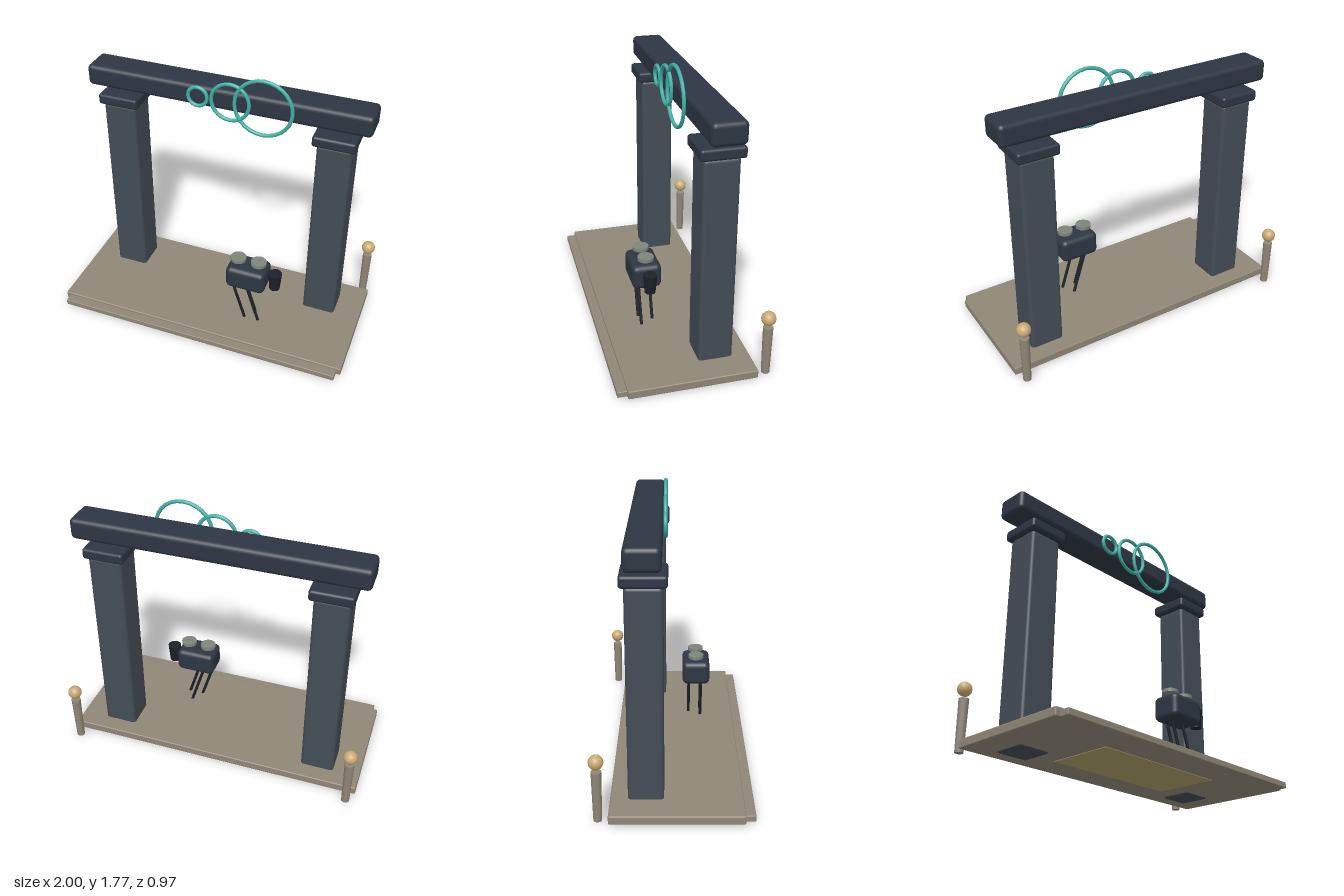
import * as THREE from 'three';
import { RoundedBoxGeometry } from 'three/addons/geometries/RoundedBoxGeometry.js';

const mat = (color) => new THREE.MeshStandardMaterial({ color });

export function createModel() {
  const model = new THREE.Group();
  const stone = mat(0x8f8676), pillarGrey = mat(0x434c55), dark = mat(0x2d3643);
  const black = mat(0x1c2128), teal = mat(0x3fb0a5), gold = mat(0xc9aa74);
  const sage = mat(0x7d857b), olive = mat(0xa89a66);

  const add = (name, geometry, material, x, y, z, parent = model) => {
    const mesh = new THREE.Mesh(geometry, material);
    mesh.name = name;
    mesh.position.set(x, y, z);
    parent.add(mesh);
    return mesh;
  };
  // Rounded box given by its extents on each axis
  const block = (name, material, [x0, x1], [y0, y1], [z0, z1], r, parent) =>
    add(name, new RoundedBoxGeometry(x1 - x0, y1 - y0, z1 - z0, 3, r), material,
      (x0 + x1) / 2, (y0 + y1) / 2, (z0 + z1) / 2, parent);

  // Base with a front step and an inlay underneath
  block('platform', stone, [-1, 1], [0.01, 0.065], [-0.38, 0.42], 0.008);
  block('frontStep', stone, [-0.97, 0.97], [0.01, 0.05], [0.38, 0.48], 0.006);
  add('undersideInlay', new THREE.BoxGeometry(0.95, 0.006, 0.42), olive, 0, 0.01, 0.04);

  // Gate: pillars, caps and back posts mirrored left and right
  for (const s of [-1, 1]) {
    const side = s > 0 ? 'left' : 'right';
    const span = (c, w) => [s * c - w / 2, s * c + w / 2];
    block(side + 'Pillar', pillarGrey, span(0.715, 0.22), [0, 1.39], [-0.273, -0.057], 0.022);
    block(side + 'Cap', dark, span(0.713, 0.27), [1.39, 1.462], [-0.3, -0.03], 0.018);

    const post = new THREE.Group();
    post.name = side + 'Post';
    post.position.set(s * 0.95, 0, -0.442);
    model.add(post);
    add('postShaft', new THREE.CylinderGeometry(0.031, 0.026, 0.325, 12), stone, 0, 0.172, 0, post);
    add('postBall', new THREE.SphereGeometry(0.045, 16, 12), gold, 0, 0.395, 0, post);
  }
  block('beam', dark, [-0.93, 0.93], [1.5, 1.64], [-0.272, -0.062], 0.03);

  // Overlapping rings on the front of the beam
  for (const [x, r] of [[-0.16, 0.063], [0.053, 0.123], [0.265, 0.184]]) {
    add('ring', new THREE.TorusGeometry(r, 0.012, 8, 28), teal, x, 1.575, -0.05);
  }

  // Small device: body, top discs, side barrel and slanted legs
  const device = new THREE.Group();
  device.name = 'device';
  model.add(device);
  block('body', dark, [0.138, 0.404], [0.352, 0.515], [0.063, 0.25], 0.035, device);
  for (const x of [0.2, 0.34]) {
    add('topDisc', new THREE.CylinderGeometry(0.052, 0.052, 0.022, 20), sage, x, 0.547, 0.155, device);
  }
  add('sideBarrel', new THREE.CylinderGeometry(0.045, 0.035, 0.125, 14), black, 0.455, 0.428, 0.155, device);
  for (const [x, z] of [[0.175, 0.19], [0.225, 0.107], [0.272, 0.19]]) {
    const top = new THREE.Vector3(x, 0.342, z), foot = new THREE.Vector3(x + 0.088, 0.06, z);
    const dir = top.clone().sub(foot);
    const mid = top.clone().add(foot).multiplyScalar(0.5);
    const leg = add('leg', new THREE.CylinderGeometry(0.01, 0.01, dir.length(), 8), black,
      mid.x, mid.y, mid.z, device);
    leg.quaternion.setFromUnitVectors(new THREE.Vector3(0, 1, 0), dir.normalize());
  }
  return model;
}
